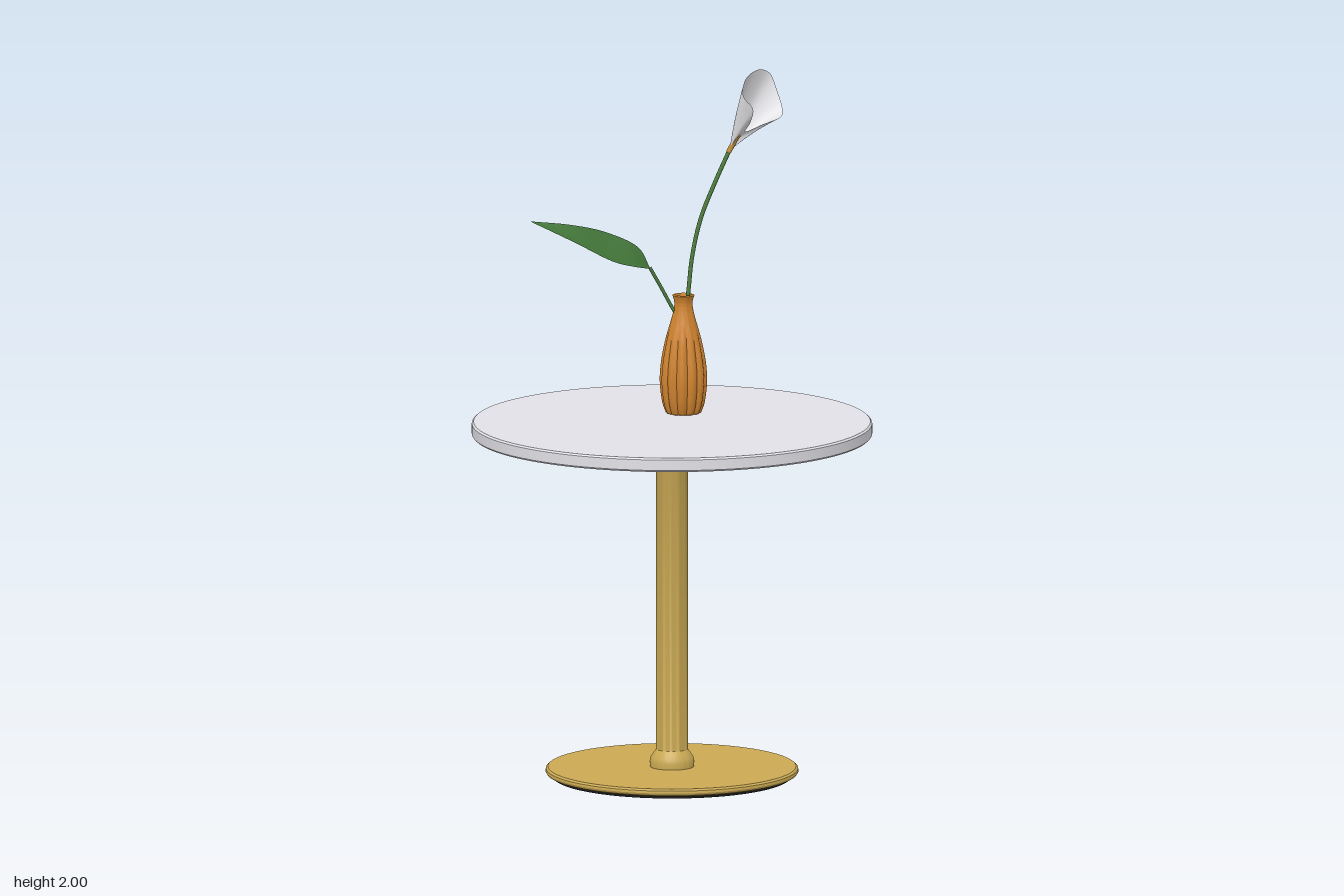
import * as THREE from 'three';
import { toCreasedNormals } from 'three/addons/utils/BufferGeometryUtils.js';

const mat = (name, color, side = THREE.FrontSide) => {
  const m = new THREE.MeshStandardMaterial({ color, side });
  m.name = name;
  return m;
};
const vec = (p) => new THREE.Vector3(...p);
const curve = (pts, closed = false) => new THREE.CatmullRomCurve3(pts.map(vec), closed);

// Solid of revolution from [radius, y] pairs, listed bottom to top
const lathe = (pts, segments = 64) =>
  toCreasedNormals(new THREE.LatheGeometry(pts.map(([r, y]) => new THREE.Vector2(r, y)), segments), 0.6);

// Smooth sheet from a function (u, v) -> Vector3
function sheet(nu, nv, fn) {
  const pos = [], index = [];
  for (let i = 0; i <= nu; i++)
    for (let j = 0; j <= nv; j++) pos.push(...fn(i / nu, j / nv).toArray());
  for (let i = 0; i < nu; i++)
    for (let j = 0; j < nv; j++) {
      const a = i * (nv + 1) + j, b = a + nv + 1;
      index.push(a, b, a + 1, b, b + 1, a + 1);
    }
  const g = new THREE.BufferGeometry();
  g.setAttribute('position', new THREE.Float32BufferAttribute(pos, 3));
  g.setIndex(index);
  g.computeVertexNormals();
  return g;
}

// Point on a quadratic curve a -> c with handle b
const bend = (a, b, c, t) => new THREE.Vector3()
  .addScaledVector(a, (1 - t) ** 2).addScaledVector(b, 2 * t * (1 - t)).addScaledVector(c, t * t);

// Vase with twelve rounded flutes that fade out at the neck
function vaseGeometry() {
  const outer = new THREE.SplineCurve([
    [0.05, 1.022], [0.06, 1.05], [0.067, 1.11], [0.063, 1.17], [0.05, 1.235],
    [0.034, 1.29], [0.027, 1.32], [0.026, 1.34], [0.031, 1.358],
  ].map((p) => new THREE.Vector2(...p))).getPoints(32);
  const inner = [[0.024, 1.36], [0.02, 1.34], [0.021, 1.31], [0.03, 1.27], [0, 1.25]];
  const profile = [[0, 1.02], [0.046, 1.02], ...outer.map((p) => [p.x, p.y]), ...inner];
  const g = new THREE.LatheGeometry(profile.map((p) => new THREE.Vector2(...p)), 96);
  const p = g.attributes.position;
  for (let i = 0; i < p.count; i++) {
    const x = p.getX(i), z = p.getZ(i);
    const fade = 1 - THREE.MathUtils.smoothstep(p.getY(i), 1.2, 1.32);
    const k = 1 - 0.12 * fade * (1 - Math.abs(Math.sin(6 * Math.atan2(x, z))));
    p.setX(i, x * k);
    p.setZ(i, z * k);
  }
  return toCreasedNormals(g, 0.6);
}

// Leaf stretched between an upper and a lower edge, folded a little at the middle
function leafGeometry() {
  const base = [0.015, 1.44, -0.11], tip = [-0.305, 1.595, -0.26];
  const upper = curve([base, [-0.01, 1.5, -0.13], [-0.09, 1.548, -0.175], [-0.19, 1.577, -0.21], tip]);
  const lower = curve([base, [-0.05, 1.455, -0.104], [-0.13, 1.48, -0.105], [-0.23, 1.54, -0.155], tip]);
  return sheet(28, 8, (u, v) => {
    const a = upper.getPoint(u), b = lower.getPoint(u);
    const sag = 0.18 * a.distanceTo(b);
    const mid = a.clone().lerp(b, 0.5).add(new THREE.Vector3(0, -sag, -sag));
    return bend(b, mid, a, v);
  });
}

// Flaring trumpet petal with a notch at the front
function petalGeometry() {
  const rim = curve([
    [0.237, 1.828, 0.043], [0.222, 1.862, 0.082], [0.207, 1.908, 0.11], [0.2, 1.938, 0.078],
    [0.235, 1.98, 0.047], [0.288, 2.0, 0.042], [0.328, 1.985, 0.044], [0.341, 1.94, 0.058],
    [0.339, 1.885, 0.086], [0.318, 1.868, 0.102], [0.275, 1.848, 0.072],
  ], true);
  const base = vec([0.213, 1.778, 0.008]), centre = vec([0.265, 1.91, 0.07]);
  return sheet(64, 16, (u, v) => {
    const edge = rim.getPoint(u);
    const out = edge.clone().sub(centre);
    const foot = base.clone().addScaledVector(out, 0.05);
    const mid = foot.clone().lerp(edge, 0.5).addScaledVector(out, -0.06);
    mid.z -= 0.014;
    return bend(foot, mid, edge, v);
  });
}

export function createModel() {
  const model = new THREE.Group();
  model.name = 'tableWithVase';
  const stone = mat('paleStone', 0xe4e4ea);
  const brass = mat('brass', 0xcbaa54);
  const rubber = mat('blackRubber', 0x1a1a1a);
  const amber = mat('amberCeramic', 0xd08430);
  const stemGreen = mat('stemGreen', 0x4f8040);
  const leafGreen = mat('leafGreen', 0x417538, THREE.DoubleSide);
  const petalWhite = mat('petalWhite', 0xe8e8ec, THREE.DoubleSide);
  const pollen = mat('pollenOrange', 0xc8923a);

  const add = (parent, name, geometry, material) => {
    const mesh = new THREE.Mesh(geometry, material);
    mesh.name = name;
    parent.add(mesh);
    return mesh;
  };
  const group = (name) => {
    const g = new THREE.Group();
    g.name = name;
    model.add(g);
    return g;
  };

  // Table
  const table = group('table');
  add(table, 'tableTop', lathe([
    [0, 0.98], [0.56, 0.98], [0.565, 0.985], [0.565, 1.015], [0.56, 1.02], [0, 1.02],
  ], 96), stone);
  add(table, 'column', lathe([
    [0.062, 0.028], [0.063, 0.045], [0.06, 0.058], [0.052, 0.07], [0.045, 0.08],
    [0.045, 0.93], [0.05, 0.942], [0.06, 0.953], [0.078, 0.961], [0.085, 0.966],
    [0.112, 0.968], [0.112, 0.98],
  ]), brass);
  add(table, 'basePlate', lathe([
    [0, 0.008], [0.345, 0.008], [0.354, 0.012], [0.357, 0.018], [0.356, 0.025], [0.35, 0.03], [0, 0.03],
  ], 96), brass);
  add(table, 'footRing', lathe([
    [0.262, 0.009], [0.262, 0], [0.335, 0], [0.335, 0.009],
  ], 96), rubber);

  // Vase
  const vase = add(model, 'vase', vaseGeometry(), amber);
  vase.position.set(0.11, 0, -0.077);

  // Flower
  const flower = group('flower');
  const stem = curve([
    [0.112, 1.26, -0.075], [0.121, 1.37, -0.068], [0.13, 1.47, -0.062],
    [0.15, 1.58, -0.047], [0.182, 1.69, -0.018], [0.212, 1.778, 0.007],
  ]);
  add(flower, 'flowerStem', new THREE.TubeGeometry(stem, 32, 0.006, 10), stemGreen);
  add(flower, 'petal', petalGeometry(), petalWhite);
  const spadix = curve([[0.21, 1.771, 0.005], [0.224, 1.81, 0.02], [0.243, 1.855, 0.045]]);
  add(flower, 'spadix', new THREE.TubeGeometry(spadix, 12, 0.0075, 10), pollen);
  for (const t of [0, 1]) {
    add(flower, 'spadixEnd', new THREE.SphereGeometry(0.0078, 12, 8), pollen)
      .position.copy(spadix.getPoint(t));
  }

  // Leaf
  const leaf = group('leaf');
  const stalk = curve([[0.112, 1.27, -0.08], [0.08, 1.325, -0.092], [0.045, 1.39, -0.103], [0.013, 1.445, -0.111]]);
  add(leaf, 'leafStalk', new THREE.TubeGeometry(stalk, 16, 0.005, 10), stemGreen);
  add(leaf, 'leafBlade', leafGeometry(), leafGreen);

  return model;
}
